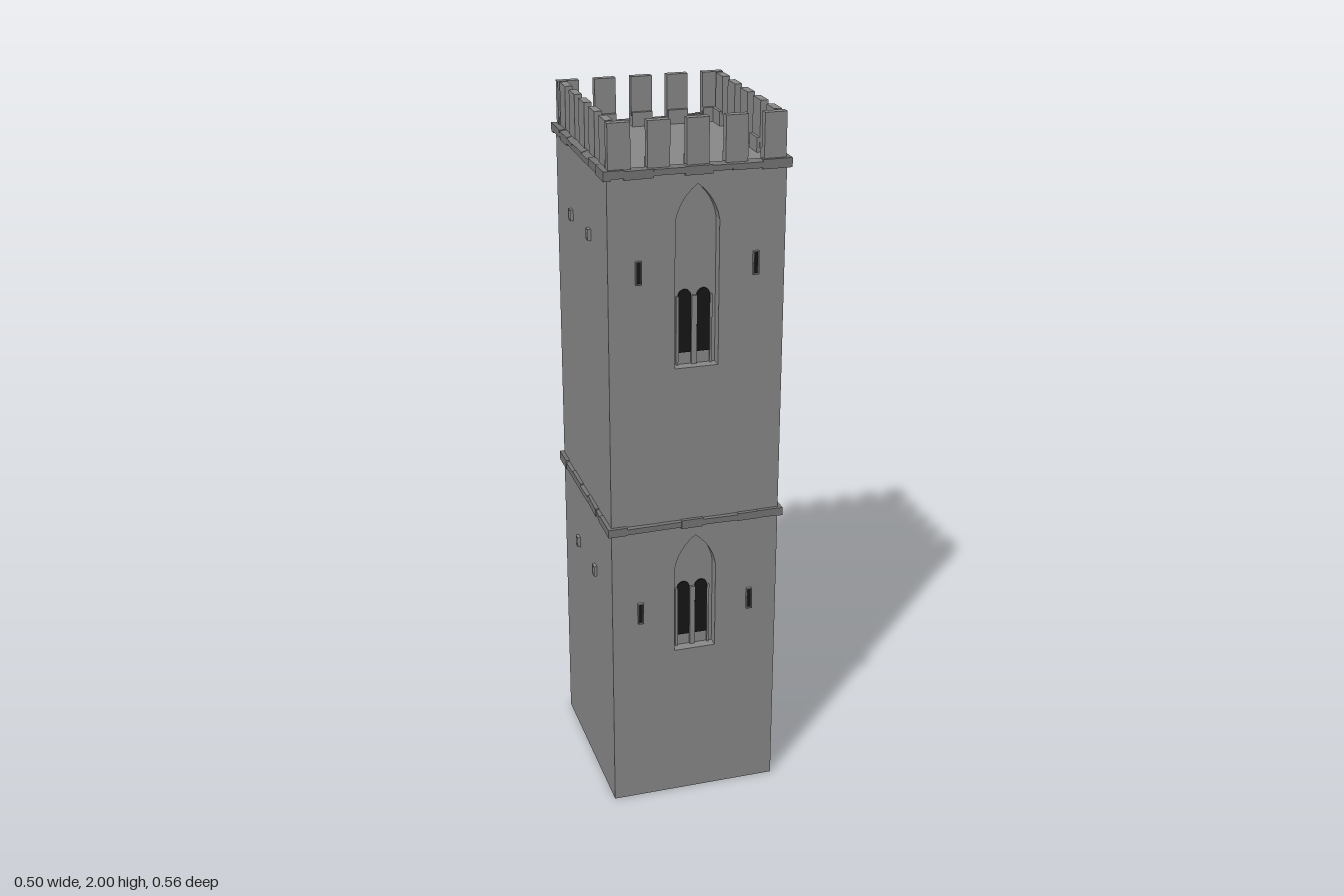
import * as THREE from 'three';

const stone = new THREE.MeshStandardMaterial({ color: 0x888888, flatShading: true });
const courseStoneMaterial = new THREE.MeshStandardMaterial({ color: 0x747474, flatShading: true });
const dark = new THREE.MeshStandardMaterial({ color: 0x161616, flatShading: true });
const HX = 0.241, HZ = 0.269, RECESS = 0.03, DECK = 1.862;

function add(parent, name, geometry, material, x = 0, y = 0, z = 0) {
  const mesh = new THREE.Mesh(geometry, material);
  mesh.name = name;
  mesh.position.set(x, y, z);
  parent.add(mesh);
  return mesh;
}

const box = (parent, name, w, h, d, x, y, z, material = stone) =>
  add(parent, name, new THREE.BoxGeometry(w, h, d), material, x, y, z);

const extrude = (shape, depth) =>
  new THREE.ExtrudeGeometry(shape, { depth, bevelEnabled: false, curveSegments: 6 });

// Small seeded generator for the uneven stones
function seeded(seed) {
  return () => (seed = (seed * 16807) % 2147483647) / 2147483647;
}

function rectangle(path, x0, y0, x1, y1) {
  path.moveTo(x0, y0);
  path.lineTo(x1, y0);
  path.lineTo(x1, y1);
  path.lineTo(x0, y1);
  path.closePath();
  return path;
}

// Pointed arch outline
function pointedArch(half, bottom, spring, apex) {
  const path = new THREE.Path();
  const bend = spring + (apex - spring) * 0.6;
  path.moveTo(-half, bottom);
  path.lineTo(half, bottom);
  path.lineTo(half, spring);
  path.quadraticCurveTo(half * 0.85, bend, 0, apex);
  path.quadraticCurveTo(-half * 0.85, bend, -half, spring);
  path.closePath();
  return path;
}

// Round-headed lancet outline
function lancet(half, bottom, top) {
  const s = new THREE.Shape();
  s.moveTo(-half, bottom);
  s.lineTo(half, bottom);
  s.lineTo(half, top - half);
  s.absarc(0, top - half, half, 0, Math.PI, false);
  s.closePath();
  return s;
}

// Thin stone frame around a dark opening, facing +z
function framedOpening(name, w, h) {
  const group = new THREE.Group();
  group.name = name;
  const edge = 0.0025;
  const frame = rectangle(new THREE.Shape(), -w / 2, -h / 2, w / 2, h / 2);
  frame.holes.push(rectangle(new THREE.Path(), -w / 2 + edge, -h / 2 + edge, w / 2 - edge, h / 2 - edge));
  add(group, 'openingFrame', extrude(frame, 0.009), stone);
  box(group, 'openingDark', w - edge, h - edge, 0.004, 0, 0, 0.001, dark);
  return group;
}

const storeys = [
  { sill: 0.47, spring: 0.73, apex: 0.83, lancetTop: 0.673, slit: 0.608, hole: 0.668 },
  { sill: 1.33, spring: 1.73, apex: 1.83, lancetTop: 1.54, slit: 1.606, hole: 1.666 },
];

// Wall with recessed windows; used for front and back
function windowWall() {
  const wall = new THREE.Group();
  const outline = rectangle(new THREE.Shape(), -HX, 0, HX, DECK);
  for (const s of storeys) outline.holes.push(pointedArch(0.06, s.sill, s.spring, s.apex));
  add(wall, 'wallFace', extrude(outline, RECESS), stone, 0, 0, HZ - RECESS);

  for (const s of storeys) {
    const foot = s.sill + 0.034;
    for (const side of [-1, 1]) {
      // Paired dark lancets
      add(wall, 'lancet', extrude(lancet(0.018, foot, s.lancetTop), 0.005), dark,
        side * 0.026, 0, HZ - RECESS - 0.001);
      // Arrow slits beside the window
      const slit = framedOpening('arrowSlit', 0.016, 0.064);
      slit.position.set(side * 0.16, s.slit, HZ);
      wall.add(slit);
    }
    // Slim posts between and beside the lancets, standing on the sill
    for (const [x, w] of [[-0.047, 0.006], [0, 0.014], [0.047, 0.006]]) {
      const h = s.lancetTop - 0.018 - s.sill;
      box(wall, 'windowPost', w, h, 0.008, x, s.sill + h / 2, HZ - RECESS + 0.003);
    }
  }
  return wall;
}

// Ring of uneven stones around the tower
function stringCourse(top, seed) {
  const course = new THREE.Group();
  const rand = seeded(seed);
  const sides = [[0, HX, HZ], [Math.PI / 2, HZ, HX], [Math.PI, HX, HZ], [-Math.PI / 2, HZ, HX]];
  for (const [turn, halfLength, offset] of sides) {
    const row = new THREE.Group();
    row.name = 'courseSide';
    row.rotation.y = turn;
    const end = halfLength + 0.011, count = 7;
    const cuts = Array.from({ length: count + 1 }, (_, i) =>
      -end + 2 * end * (i + (i > 0 && i < count ? (rand() - 0.5) * 0.5 : 0)) / count);
    for (let i = 0; i < count; i++) {
      const w = cuts[i + 1] - cuts[i], h = 0.02 + rand() * 0.007;
      const geometry = new THREE.BoxGeometry(w, h, 0.02);
      const p = geometry.attributes.position;
      const lean = (rand() - 0.5) * 0.003, drop = rand() * 0.008;
      // Slope the top outward and skew the face, keeping corners joined
      for (let k = 0; k < p.count; k++) {
        if (p.getZ(k) < 0 || i === 0 || i === count - 1) continue;
        p.setZ(k, 0.0085 + Math.sign(p.getX(k)) * lean);
        if (p.getY(k) > 0) p.setY(k, p.getY(k) - drop);
      }
      add(row, 'courseStone', geometry, courseStoneMaterial,
        (cuts[i] + cuts[i + 1]) / 2, top - h / 2, offset + 0.001);
    }
    course.add(row);
  }
  return course;
}

// Five merlons on each side, with a low step behind each
function battlements() {
  const group = new THREE.Group();
  const tall = 2 - DECK, step = 0.04;
  const tallY = DECK + tall / 2, stepY = DECK + step / 2;
  for (const side of [-1, 1])
    for (let i = -2; i <= 2; i++) {
      const along = i * 0.104;
      box(group, 'merlon', 0.06, tall, 0.022, along, tallY, side * 0.259);
      box(group, 'merlonStep', 0.058, step, 0.03, along, stepY, side * 0.253);
      box(group, 'merlon', 0.021, tall, 0.06, side * 0.2245, tallY, along);
      box(group, 'merlonStep', 0.028, step, 0.058, side * 0.22, stepY, along);
    }
  return group;
}

export function createModel() {
  const tower = new THREE.Group();
  tower.name = 'tower';

  // Solid core between the two window walls
  box(tower, 'towerCore', 2 * HX, DECK, 2 * (HZ - RECESS), 0, DECK / 2, 0);
  const front = windowWall();
  front.name = 'frontWall';
  const back = windowWall();
  back.name = 'backWall';
  back.rotation.y = Math.PI;
  tower.add(front, back);

  // Small openings in the side walls
  for (const s of storeys)
    for (const side of [-1, 1])
      for (const z of [-0.1, 0.092]) {
        const opening = framedOpening('sideOpening', 0.022, 0.031);
        opening.position.set(side * HX, s.hole, z);
        opening.rotation.y = side * Math.PI / 2;
        tower.add(opening);
      }

  const lower = stringCourse(0.884, 11);
  lower.name = 'lowerCourse';
  const upper = stringCourse(1.881, 47);
  upper.name = 'upperCourse';
  const crown = battlements();
  crown.name = 'battlements';
  tower.add(lower, upper, crown);
  return tower;
}
